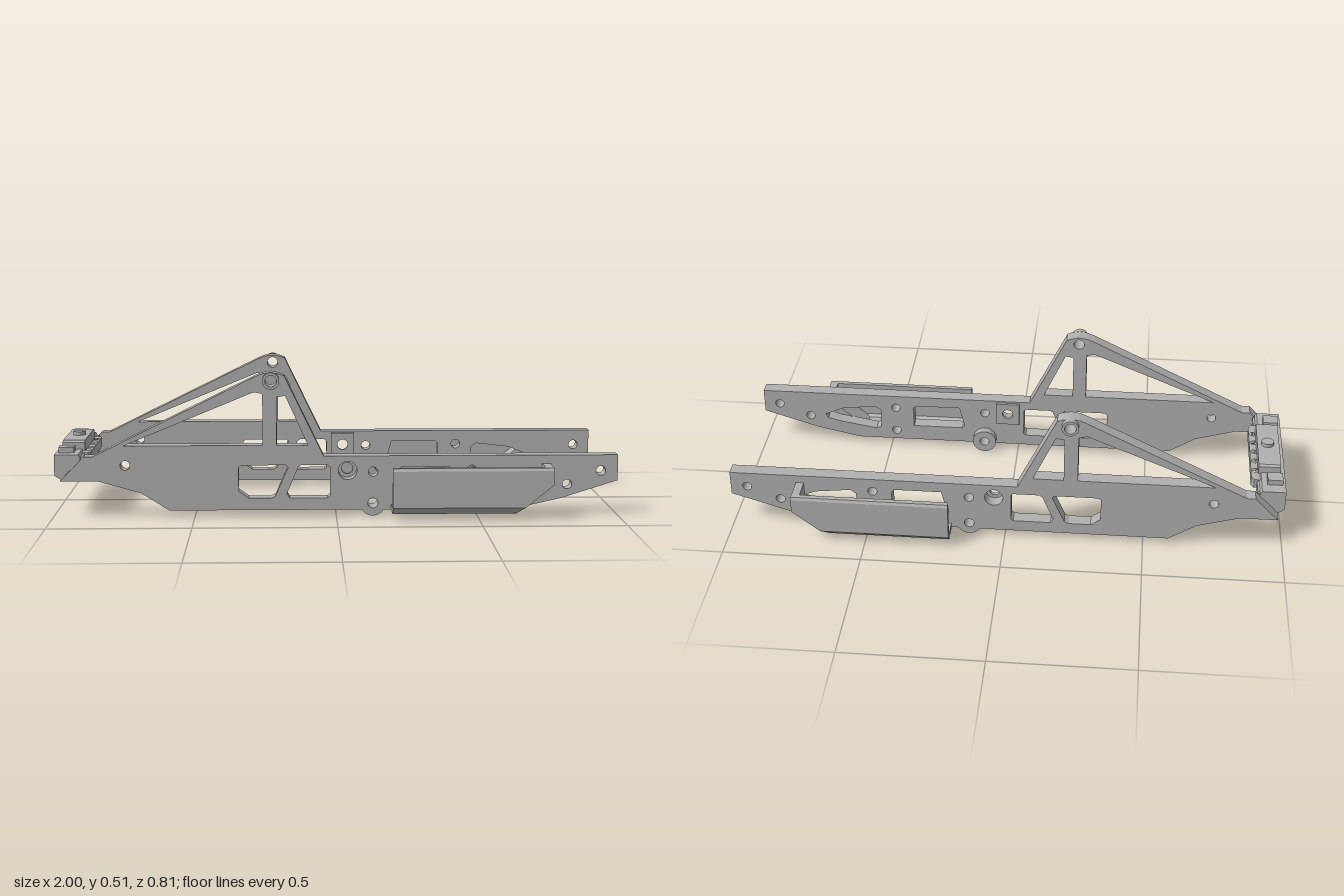
import * as THREE from 'three';

const metal = new THREE.MeshStandardMaterial({ color: 0xb0b0b0 });
metal.name = 'grey metal';

const polygon = (points) => new THREE.Shape(points.map(([x, y]) => new THREE.Vector2(x, y)));

// Path helpers for holes
const round = (x, y, r) => new THREE.Path().absarc(x, y, r, 0, Math.PI * 2, true);
const cutout = (points) => new THREE.Path(points.map(([x, y]) => new THREE.Vector2(x, y)));

function disc(x, y, r, hole) {
  const s = new THREE.Shape().absarc(x, y, r, 0, Math.PI * 2, false);
  s.holes.push(round(x, y, hole));
  return s;
}

function add(group, name, geometry) {
  const mesh = new THREE.Mesh(geometry, metal);
  mesh.name = name;
  group.add(mesh);
  return mesh;
}

// Side-view shape given a thickness from z0 to z1, on the +z or -z side
function plate(group, name, shape, z0, z1, side = 1) {
  const g = new THREE.ExtrudeGeometry(shape, { depth: z1 - z0, bevelEnabled: false, curveSegments: 16 });
  g.translate(0, 0, side > 0 ? z0 : -z1);
  return add(group, name, g);
}

function box(group, name, x0, x1, y0, y1, z0, z1) {
  const g = new THREE.BoxGeometry(x1 - x0, y1 - y0, z1 - z0);
  g.translate((x0 + x1) / 2, (y0 + y1) / 2, (z0 + z1) / 2);
  return add(group, name, g);
}

// Long rail with its triangular tower, windows and bolt holes
function railShape() {
  const s = polygon([[-0.975, 0.128], [-0.84, 0.128], [-0.69, 0.085], [-0.59, 0.022], [0.09, 0.022]]);
  const a = Math.asin(0.023 / 0.045);
  s.absarc(0.13, 0.045, 0.045, Math.PI + a, Math.PI * 2 - a, false);
  [[0.63, 0.022], [0.8, 0.06], [1, 0.123], [1, 0.215], [-0.045, 0.215], [-0.183, 0.5],
    [-0.2, 0.507], [-0.23, 0.513], [-0.26, 0.508], [-0.287, 0.497], [-0.86, 0.215], [-0.89, 0.215]]
    .forEach(([x, y]) => s.lineTo(x, y));
  s.holes.push(
    // tower openings
    cutout([[-0.75, 0.254], [-0.29, 0.443], [-0.26, 0.437], [-0.26, 0.254]]),
    cutout([[-0.21, 0.254], [-0.21, 0.425], [-0.18, 0.43], [-0.1, 0.254]]),
    // slanted windows
    cutout([[-0.345, 0.175], [-0.335, 0.183], [-0.18, 0.183], [-0.17, 0.175], [-0.215, 0.073],
      [-0.23, 0.065], [-0.31, 0.065], [-0.345, 0.09]]),
    cutout([[-0.125, 0.183], [-0.03, 0.183], [-0.022, 0.175], [-0.022, 0.072], [-0.03, 0.065],
      [-0.165, 0.065], [-0.175, 0.08], [-0.135, 0.175]]),
    cutout([[0.23, 0.175], [0.4, 0.175], [0.41, 0.165], [0.41, 0.085], [0.22, 0.085], [0.21, 0.095]]),
    cutout([[0.54, 0.15], [0.56, 0.165], [0.69, 0.15], [0.76, 0.12], [0.75, 0.103], [0.7, 0.09],
      [0.56, 0.065], [0.54, 0.075]]),
    // bolt holes
    round(-0.23, 0.484, 0.02), round(0.04, 0.163, 0.033), round(0.13, 0.045, 0.018),
    ...[[-0.745, 0.184], [0.13, 0.158], [0.48, 0.163], [0.48, 0.06], [0.82, 0.11], [0.94, 0.158]]
      .map(([x, y]) => round(x, y, 0.017)),
  );
  return s;
}

// Hollow side tray: an L section run along x, cut by the sloping front end
function trayShell(side) {
  const section = [[0.305, 0.02], [0.38, 0.02], [0.405, 0.045], [0.405, 0.125], [0.405, 0.175], [0.4, 0.185],
    [0.383, 0.185], [0.383, 0.125], [0.383, 0.05], [0.374, 0.04], [0.305, 0.04]];
  const g = new THREE.ExtrudeGeometry(polygon(section.map(([z, y]) => [-side * z, y])),
    { depth: 1, bevelEnabled: false });
  g.rotateY(Math.PI / 2);
  const p = g.attributes.position;
  for (let i = 0; i < p.count; i++) {
    const end = Math.min(0.76, 0.63 + (p.getY(i) - 0.02) * 1.238);
    p.setX(i, p.getX(i) > 0.5 ? end : 0.195);
  }
  g.computeVertexNormals();
  return g;
}

function buildSide(side) {
  const group = new THREE.Group();
  group.name = side > 0 ? 'frontSide' : 'backSide';
  plate(group, 'rail', railShape(), 0.258, 0.308, side);
  plate(group, 'towerBoss', disc(-0.23, 0.484, 0.03, 0.02), 0.307, 0.327, side);
  plate(group, 'lowerBoss', disc(0.13, 0.045, 0.045, 0.018), 0.229, 0.26, side);

  // square mounting pad on the inner face
  const pad = polygon([[-0.005, 0.118], [0.085, 0.118], [0.085, 0.208], [-0.005, 0.208]]);
  pad.holes.push(round(0.04, 0.163, 0.02));
  plate(group, 'mountingPad', pad, 0.248, 0.262, side);

  add(group, 'trayShell', trayShell(side));
  const end = polygon([[0.63, 0.021], [0.759, 0.125], [0.759, 0.185], [0.73, 0.185], [0.73, 0.138], [0.595, 0.03]]);
  plate(group, 'trayEnd', end, 0.305, 0.384, side);
  return group;
}

// Cross bumper joining the rails
function buildBumper() {
  const group = new THREE.Group();
  group.name = 'bumper';
  const body = polygon([[-1, 0.14], [-0.98, 0.127], [-0.908, 0.127], [-0.908, 0.205], [-0.915, 0.215], [-1, 0.215]]);
  plate(group, 'bumperBeam', body, -0.26, 0.26);

  // perforated ledge along the inner edge
  const ledge = polygon([[0.88, -0.165], [0.89, -0.18], [0.93, -0.18], [0.93, 0.18], [0.89, 0.18], [0.88, 0.165]]
    .map(([x, z]) => [-x, z]));
  for (let i = -2; i <= 2; i++) ledge.holes.push(round(-0.896, i * 0.06, 0.012));
  const g = new THREE.ExtrudeGeometry(ledge, { depth: 0.035, bevelEnabled: false });
  g.rotateX(-Math.PI / 2);
  g.translate(0, 0.175, 0);
  add(group, 'perforatedLedge', g);

  // raised housing with a round knob, and two small blocks
  const top = polygon([[-0.14, 0.21], [0.14, 0.21], [0.14, 0.24], [0.133, 0.247], [-0.133, 0.247], [-0.14, 0.24]]);
  const housing = new THREE.ExtrudeGeometry(top, { depth: 0.08, bevelEnabled: false });
  housing.rotateY(Math.PI / 2);
  housing.translate(-0.985, 0, 0);
  add(group, 'housing', housing);
  add(group, 'knob', new THREE.CylinderGeometry(0.023, 0.023, 0.02, 24)).position.set(-0.942, 0.25, 0);
  for (const s of [-1, 1]) {
    box(group, 'smallBlock', -0.99, -0.935, 0.21, 0.235, s * 0.19 - 0.025, s * 0.19 + 0.025);
    box(group, 'endBracket', -0.91, -0.9, 0.127, 0.205, s * 0.2125 - 0.0325, s * 0.2125 + 0.0325);
  }
  return group;
}

export function createModel() {
  const model = new THREE.Group();
  model.name = 'chassisFrame';
  model.add(buildSide(1), buildSide(-1), buildBumper());
  return model;
}
